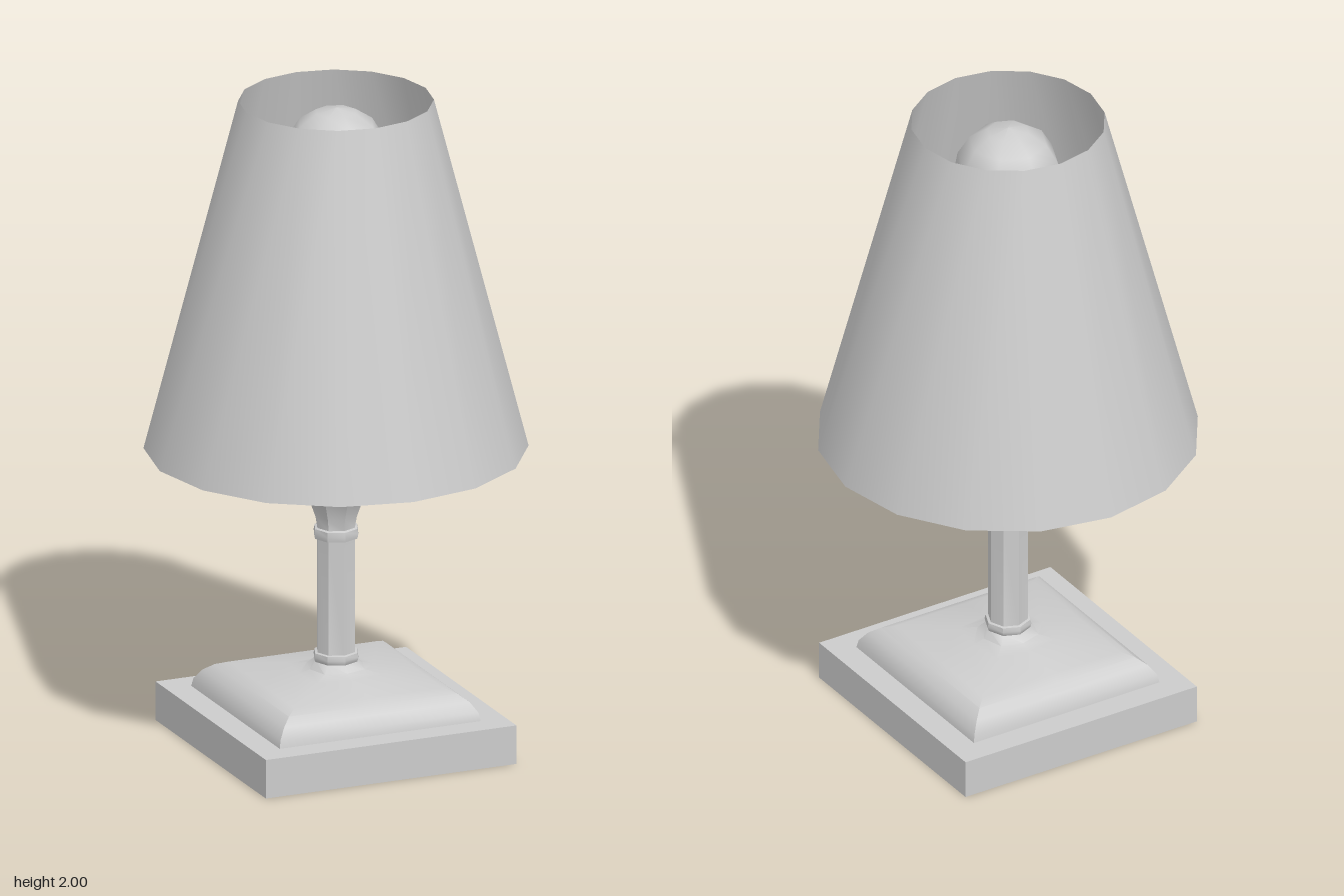
import * as THREE from 'three';
import { toCreasedNormals } from 'three/addons/utils/BufferGeometryUtils.js';

const grey = new THREE.MeshStandardMaterial({ color: 0xcccccc });
const greyThin = new THREE.MeshStandardMaterial({ color: 0xcccccc, side: THREE.DoubleSide });

// Revolve [radius, height] pairs, listed from bottom to top
function turned(profile, sides) {
  return new THREE.LatheGeometry(profile.map(([r, y]) => new THREE.Vector2(r, y)), sides);
}

function add(group, name, geometry, material = grey) {
  const mesh = new THREE.Mesh(geometry, material);
  mesh.name = name;
  group.add(mesh);
  return mesh;
}

export function createModel() {
  const lamp = new THREE.Group();
  lamp.name = 'tableLamp';

  // Square plinth
  add(lamp, 'basePlate', new THREE.BoxGeometry(0.81, 0.12, 0.81)).position.y = 0.06;

  // Domed foot: square at the bottom, easing into the octagon of the column
  const foot = turned([
    [0.325, 0.12], [0.32, 0.145], [0.3, 0.175], [0.272, 0.197], [0.24, 0.21],
    [0.12, 0.228], [0.085, 0.238], [0.065, 0.26],
  ], 8);
  const p = foot.attributes.position;
  for (let i = 0; i < p.count; i++) {
    const x = p.getX(i), z = p.getZ(i);
    if (Math.abs(Math.abs(x) - Math.abs(z)) < 1e-4) {
      const square = 1 - THREE.MathUtils.smoothstep(p.getY(i), 0.21, 0.25);
      const k = 1 + (Math.SQRT2 - 1) * square;
      p.setXYZ(i, x * k, p.getY(i), z * k);
    }
  }
  add(lamp, 'foot', toCreasedNormals(foot, 0.6));

  // Octagonal column with two collars and a flared capital
  const column = turned([
    [0.06, 0.25], [0.068, 0.26], [0.071, 0.272], [0.068, 0.285], [0.06, 0.287],
    [0.06, 0.64], [0.068, 0.642], [0.071, 0.657], [0.068, 0.672], [0.06, 0.675],
    [0.066, 0.71], [0.083, 0.757], [0.105, 0.79], [0.13, 0.812],
    [0.13, 0.828], [0.122, 0.835], [0, 0.835],
  ], 8);
  add(lamp, 'column', toCreasedNormals(column, 0.6));

  // Thin stem carrying the bulb
  add(lamp, 'stem', toCreasedNormals(turned([[0.035, 0.83], [0.035, 1.1], [0, 1.1]], 8), 0.6));

  // Pear-shaped bulb, smooth
  add(lamp, 'bulb', turned([
    [0.035, 1.08], [0.047, 1.2], [0.055, 1.35], [0.075, 1.48], [0.115, 1.6],
    [0.15, 1.7], [0.165, 1.8], [0.153, 1.87], [0.117, 1.93], [0.063, 1.965], [0, 1.977],
  ], 8));

  // Open tapered shade
  add(lamp, 'shade', new THREE.CylinderGeometry(0.29, 0.57, 1.08, 16, 1, true), greyThin)
    .position.y = 1.46;

  return lamp;
}
